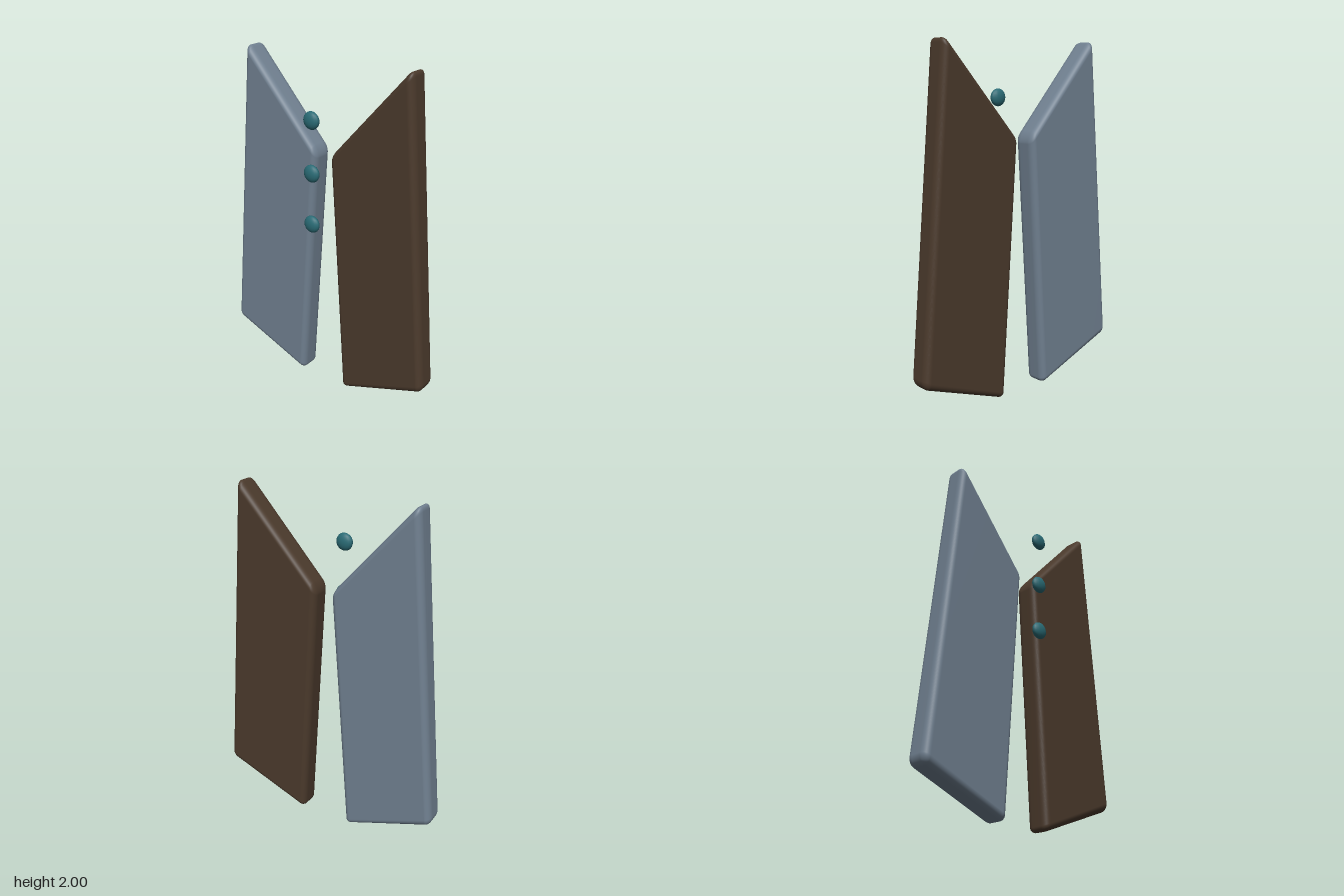
import * as THREE from 'three';
import { RoundedBoxGeometry } from 'three/addons/geometries/RoundedBoxGeometry.js';
import { mergeVertices } from 'three/addons/utils/BufferGeometryUtils.js';

// Corners of one slanted panel, on the +x side
const INNER_BOTTOM = new THREE.Vector2(0.148, -0.012);
const OUTER_BOTTOM = new THREE.Vector2(0.704, 0.195);
const INNER_TOP = new THREE.Vector2(0.048, 1.47);
const OUTER_TOP = new THREE.Vector2(0.54, 2.02);

// Rounded box whose four corners are pulled to the slanted outline
function panelGeometry(side) {
  const width = 0.66, height = 1.65, depth = 0.143;
  const geometry = new RoundedBoxGeometry(width, height, depth, 5, 0.042);
  geometry.deleteAttribute('normal');
  geometry.deleteAttribute('uv');
  const pos = geometry.attributes.position;
  const low = new THREE.Vector2(), high = new THREE.Vector2();
  for (let i = 0; i < pos.count; i++) {
    const u = (side * pos.getX(i)) / width + 0.5;
    const v = pos.getY(i) / height + 0.5;
    low.lerpVectors(INNER_BOTTOM, OUTER_BOTTOM, u);
    high.lerpVectors(INNER_TOP, OUTER_TOP, u);
    low.lerp(high, v);
    pos.setXY(i, side * low.x, low.y);
  }
  const smooth = mergeVertices(geometry, 1e-5);
  smooth.computeVertexNormals();
  return smooth;
}

export function createModel() {
  const group = new THREE.Group();

  // Two mirrored lapel panels
  for (const [name, side, color] of [['leftPanel', 1, 0x4b3a2c], ['rightPanel', -1, 0x708090]]) {
    const panel = new THREE.Mesh(panelGeometry(side), new THREE.MeshStandardMaterial({ color }));
    panel.name = name;
    panel.position.z = -0.059;
    group.add(panel);
  }

  // Flattened buttons floating in front of the gap
  const buttonGeometry = new THREE.SphereGeometry(0.05, 16, 12);
  const buttonMaterial = new THREE.MeshStandardMaterial({ color: 0x2a6b75 });
  [1.09, 1.39, 1.687].forEach((y, i) => {
    const button = new THREE.Mesh(buttonGeometry, buttonMaterial);
    button.name = `button${i + 1}`;
    button.position.set(0, y, 0.102);
    button.scale.z = 0.55;
    group.add(button);
  });

  return group;
}
